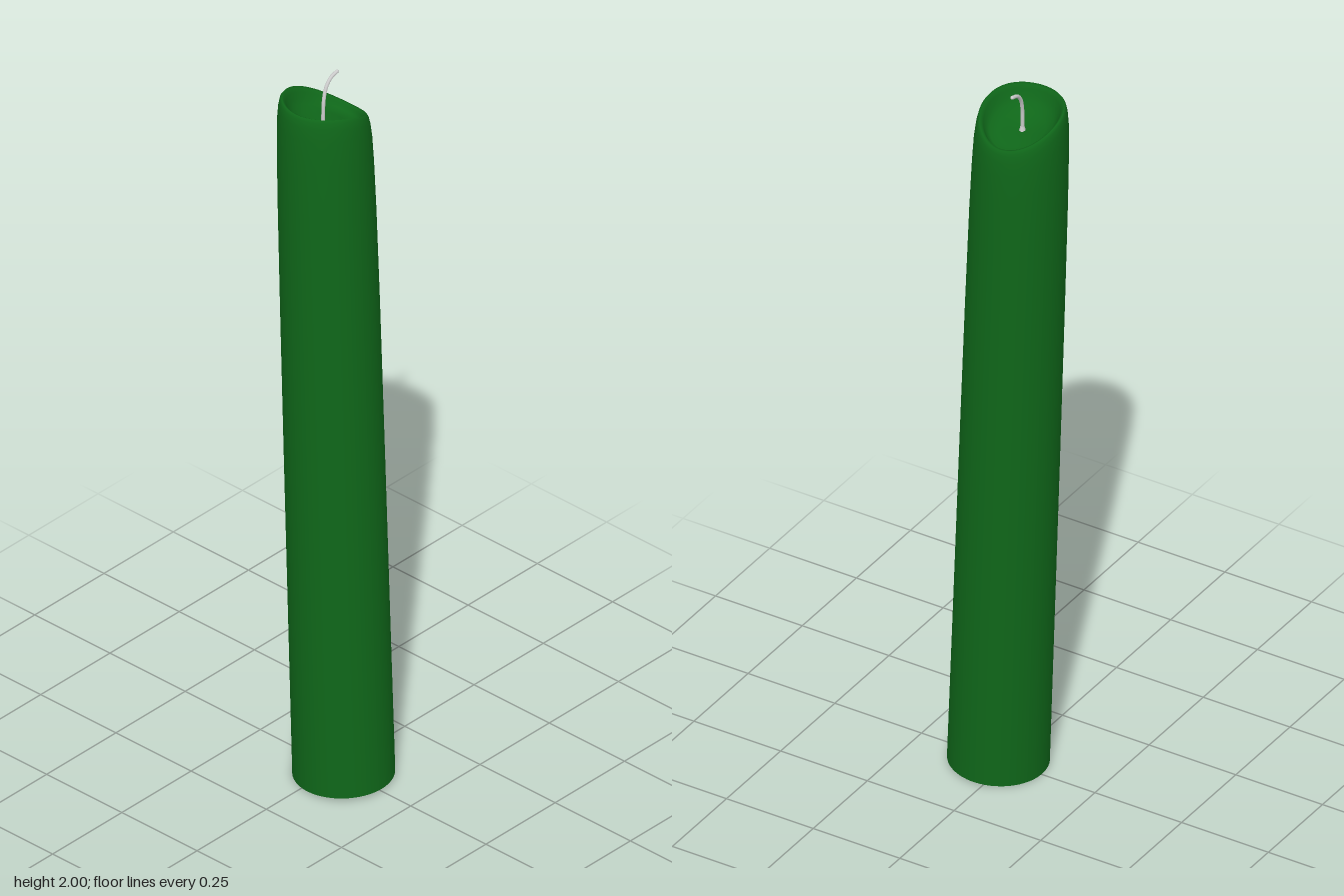
import * as THREE from 'three';

// Centre line of the slightly leaning candle
const leanX = (y) => -0.003 + 0.0045 * y;
const leanZ = (y) => 0.03 - 0.038 * y;
// Slanted, curved cut across the top
const slant = (x) => -0.35 * x - 2.0 * x * x;

// Radius and height: outer wall, rounded rim, melted dish
const PROFILE = [
  [0.126, 0], [0.125, 0.45], [0.124, 0.9], [0.1225, 1.35], [0.121, 1.65], [0.119, 1.8],
  [0.1165, 1.87], [0.113, 1.905], [0.109, 1.923], [0.104, 1.93], [0.099, 1.927],
  [0.094, 1.917], [0.088, 1.902], [0.078, 1.888], [0.06, 1.877], [0.03, 1.87], [0, 1.868],
];

function createBody() {
  const points = PROFILE.map(([r, y]) => new THREE.Vector2(r, y));
  const geometry = new THREE.LatheGeometry(points, 64);
  const p = geometry.attributes.position;
  for (let i = 0; i < p.count; i++) {
    const x = p.getX(i), y = p.getY(i), z = p.getZ(i);
    const r = Math.hypot(x, z);
    const weight = THREE.MathUtils.smoothstep(y, 1.4, 1.85) * Math.min(1, r / 0.09);
    // the open foot is square to the leaning axis
    const foot = -0.038 * z * (1 - Math.min(1, y / 0.4));
    const h = y + slant(x) * weight - foot + 0.005 * (1 - Math.min(1, y / 0.4));
    p.setXYZ(i, x + leanX(y), h, z + leanZ(y));
  }
  geometry.computeVertexNormals();
  // match normals across the lathe seam
  const n = geometry.attributes.normal, rows = PROFILE.length;
  for (let j = 0; j < rows; j++) {
    const k = p.count - rows + j;
    const v = new THREE.Vector3().fromBufferAttribute(n, j)
      .add(new THREE.Vector3().fromBufferAttribute(n, k)).normalize();
    n.setXYZ(j, v.x, v.y, v.z);
    n.setXYZ(k, v.x, v.y, v.z);
  }
  const material = new THREE.MeshStandardMaterial({ color: 0x0f6619, side: THREE.DoubleSide });
  const mesh = new THREE.Mesh(geometry, material);
  mesh.name = 'waxBody';
  return mesh;
}

function createWick() {
  const group = new THREE.Group();
  group.name = 'wick';
  const material = new THREE.MeshStandardMaterial({ color: 0xcccccc });
  const add = (name, geometry, x, y, z) => {
    const mesh = new THREE.Mesh(geometry, material);
    mesh.name = name;
    mesh.position.set(x, y, z);
    group.add(mesh);
  };

  // Curled thread
  const path = new THREE.CatmullRomCurve3([
    [0, 1.862, -0.041], [0.001, 1.9, -0.042], [0.004, 1.935, -0.043],
    [0.014, 1.966, -0.045], [0.032, 1.987, -0.046], [0.055, 1.995, -0.046],
  ].map((a) => new THREE.Vector3(...a)));
  add('wickThread', new THREE.TubeGeometry(path, 32, 0.0048, 10), 0, 0, 0);
  // Rounded tip and flared root
  add('wickTip', new THREE.SphereGeometry(0.0048, 10, 8), 0.055, 1.995, -0.046);
  add('wickRoot', new THREE.CylinderGeometry(0.0045, 0.009, 0.018, 10), 0, 1.874, -0.041);
  return group;
}

export function createModel() {
  const model = new THREE.Group();
  model.name = 'candle';
  model.add(createBody(), createWick());
  return model;
}
